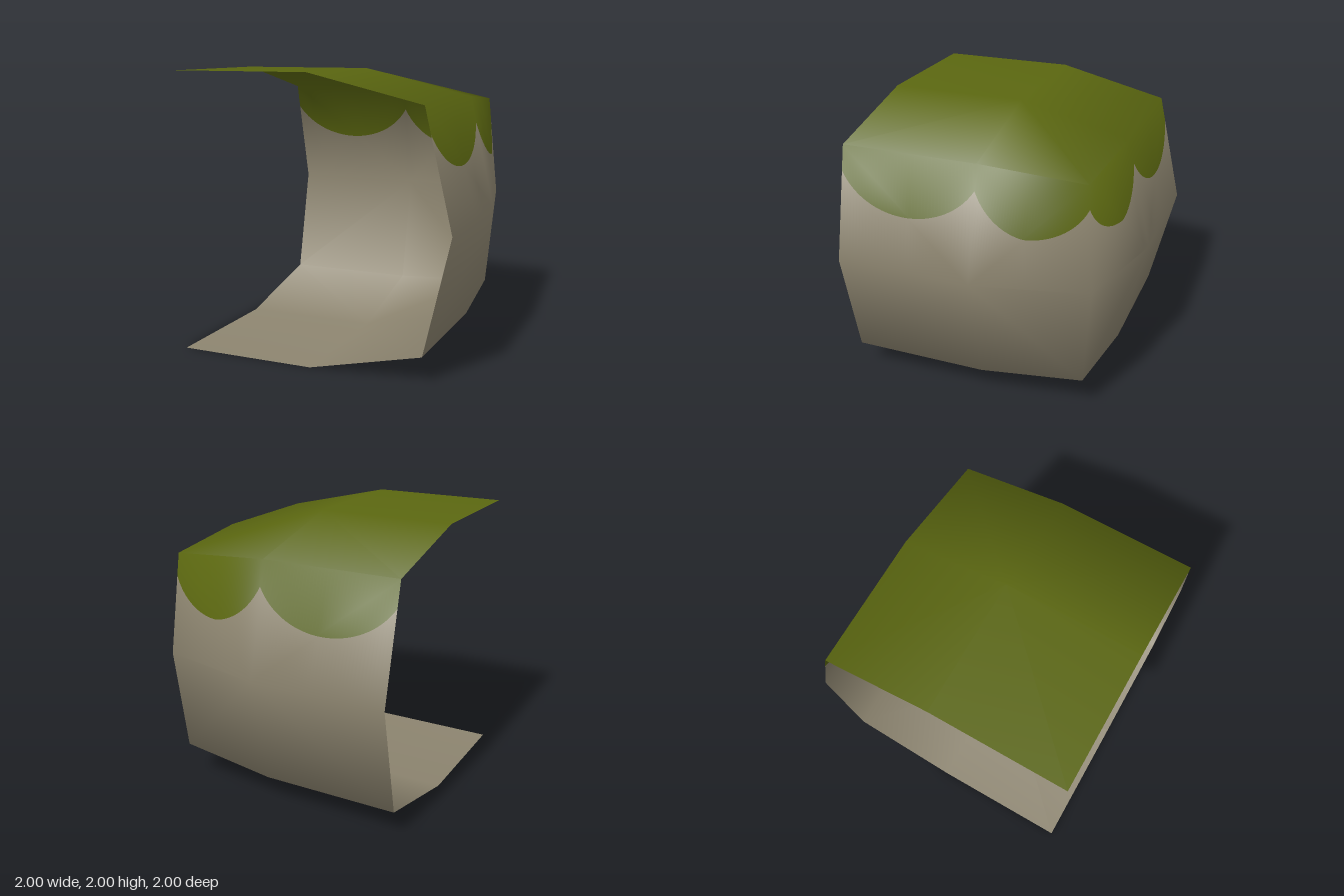
import * as THREE from 'three';

// Lattice point of the faceted rounded block: i = right, j = up, k = back.
// The left (i = -1) and front (k = -1) sides stay open and keep full length.
function latticePoint(i, j, k) {
  const out = [i === 1, j !== 0, k === 1];
  const s = [1, 1, 0.81, 0.75][out.filter(Boolean).length];
  return new THREE.Vector3(out[0] ? s : i, out[1] ? j * s : j, out[2] ? -s : -k);
}

const key = (c) => c.join();

// Patches are quads [centre, side, corner, side] split from centre to corner
function listPatches() {
  const list = [];
  for (const s of [-1, 1]) {
    for (const t of [-1, 1]) {
      list.push({ part: t > 0 ? 'top' : 'floor', q: [[0, t, 0], [s, t, 0], [s, t, 1], [0, t, 1]] });
      list.push({ part: t > 0 ? 'top' : 'floor', q: [[0, t, 0], [s, t, 0], [s, t, -1], [0, t, -1]] });
      list.push({ part: t > 0 ? 'upper' : 'lower', q: [[0, 0, 1], [s, 0, 1], [s, t, 1], [0, t, 1]] });
      list.push({ part: t > 0 ? 'upper' : 'lower', q: [[1, 0, 0], [1, 0, s], [1, t, s], [1, t, 0]] });
    }
  }
  return list;
}

// Smooth normals shared by all patches, weighted by triangle area
function smoothNormals(patches) {
  const normals = {};
  for (const { q } of patches) {
    const p = q.map((c) => latticePoint(...c));
    for (const tri of [[0, 1, 2], [0, 2, 3]]) {
      const [a, b, c] = tri.map((n) => p[n]);
      const n = b.clone().sub(a).cross(c.clone().sub(a));
      if (n.dot(a) < 0) n.negate();
      for (const m of tri) (normals[key(q[m])] ??= new THREE.Vector3()).add(n);
    }
  }
  for (const n of Object.values(normals)) n.normalize();
  return normals;
}

// Value at (u, v) on a quad folded along its diagonal
function onQuad([a, b, c, d], u, v) {
  const w = v <= u ? [1 - u, u - v, v, 0] : [1 - v, 0, u, v - u];
  const r = new THREE.Vector3();
  [a, b, c, d].forEach((p, n) => r.addScaledVector(p, w[n]));
  return r;
}

// Hanging edge of the grass: one circular arc per patch, cusps at the ends
function scallop(u) {
  const low = 0.47, sag = 0.31, r = (0.25 + sag * sag) / (2 * sag);
  return low + r - Math.sqrt(r * r - (u - 0.5) ** 2);
}

export function createModel() {
  const group = new THREE.Group();
  const grass = new THREE.MeshStandardMaterial({ color: 0x5a6610, side: THREE.DoubleSide });
  grass.name = 'grass';
  const soil = new THREE.MeshStandardMaterial({ color: 0x8c846f, side: THREE.DoubleSide });
  soil.name = 'soil';
  const patches = listPatches();
  const normals = smoothNormals(patches);

  // One mesh from all patches of a part, between two heights, in n columns
  function addPart(name, part, material, n, from, to) {
    const pos = [], nor = [], index = [];
    for (const { q } of patches.filter((p) => p.part === part)) {
      const p = q.map((c) => latticePoint(...c));
      const m = q.map((c) => normals[key(c)]);
      const outward = p[1].clone().sub(p[0]).cross(p[2].clone().sub(p[0])).dot(p[0]) > 0;
      const base = pos.length / 3;
      for (let i = 0; i <= n; i++) {
        const u = i / n, lo = from(u), hi = to(u);
        for (const v of [lo, THREE.MathUtils.clamp(u, lo, hi), hi]) {
          pos.push(...onQuad(p, u, v).toArray());
          nor.push(...onQuad(m, u, v).normalize().toArray());
        }
      }
      for (let i = 0; i < n; i++) {
        for (let r = 0; r < 2; r++) {
          const a = base + i * 3 + r, b = a + 3, c = a + 4, d = a + 1;
          index.push(...(outward ? [a, b, c, a, c, d] : [a, c, b, a, d, c]));
        }
      }
    }
    const g = new THREE.BufferGeometry();
    g.setAttribute('position', new THREE.Float32BufferAttribute(pos, 3));
    g.setAttribute('normal', new THREE.Float32BufferAttribute(nor, 3));
    g.setIndex(index);
    const mesh = new THREE.Mesh(g, material);
    mesh.name = name;
    mesh.position.y = 1;
    group.add(mesh);
  }

  const bottom = () => 0, top = () => 1;
  addPart('grassTop', 'top', grass, 1, bottom, top);
  addPart('grassFringe', 'upper', grass, 40, scallop, top);
  addPart('upperSoilWalls', 'upper', soil, 40, bottom, scallop);
  addPart('lowerSoilWalls', 'lower', soil, 1, bottom, top);
  addPart('soilFloor', 'floor', soil, 1, bottom, top);
  group.name = 'grassyCornerBlock';
  return group;
}
